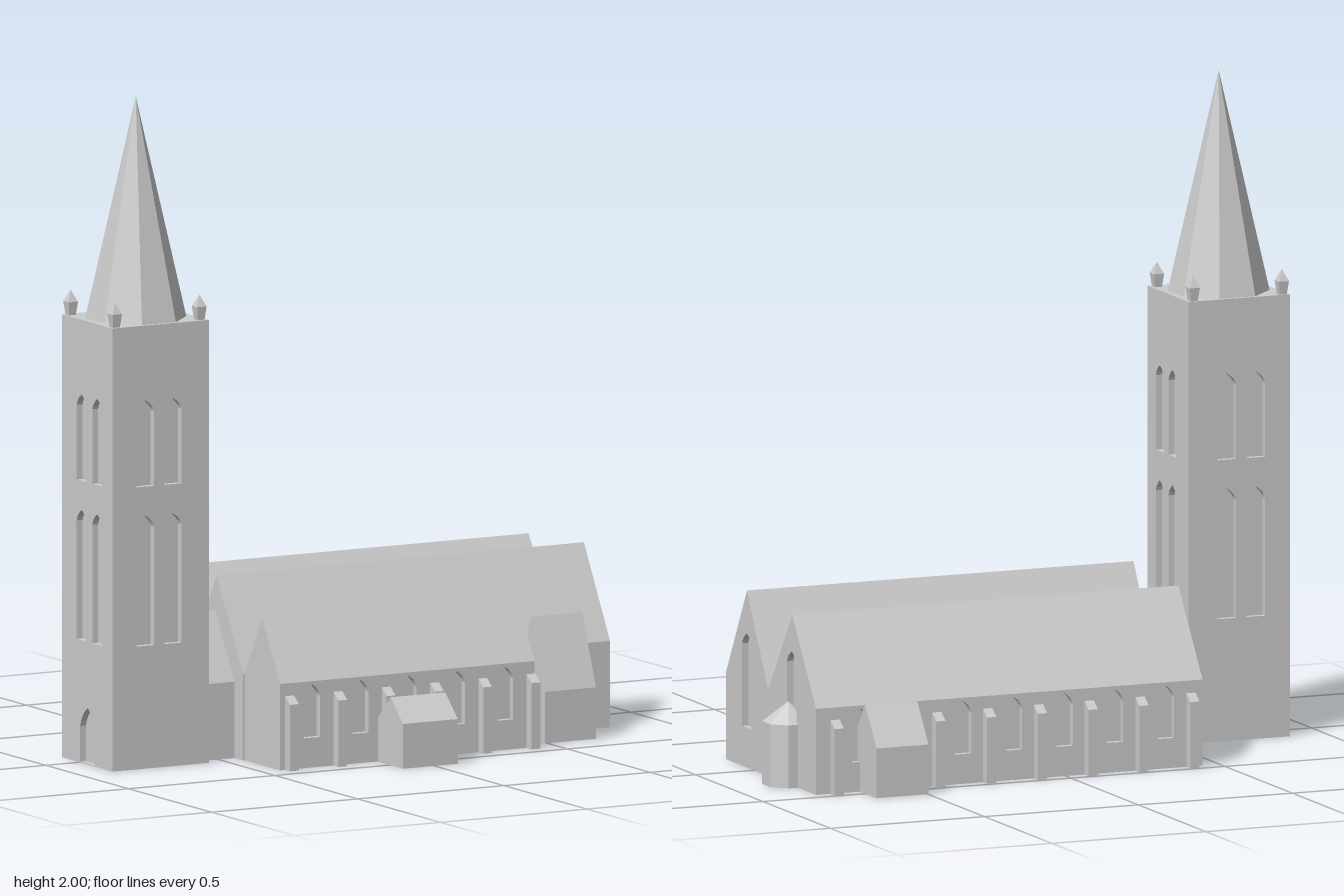
import * as THREE from 'three';

const D = 0.02; // depth of the window recesses

export function createModel() {
  const church = new THREE.Group();
  church.name = 'church';
  const stone = new THREE.MeshStandardMaterial({ color: 0xcccccc, flatShading: true });
  stone.name = 'stone';

  function add(name, geometry, parent = church) {
    const mesh = new THREE.Mesh(geometry, stone);
    mesh.name = name;
    parent.add(mesh);
    return mesh;
  }
  const outline = (pts) => new THREE.Shape(pts.map(([a, b]) => new THREE.Vector2(a, b)));

  // pointed-arch opening centred on c
  function lancet(c, w, y0, y1, rise = 0.035) {
    const p = new THREE.Path();
    p.moveTo(c - w / 2, y0);
    p.lineTo(c + w / 2, y0);
    p.lineTo(c + w / 2, y1 - rise);
    p.quadraticCurveTo(c + w * 0.42, y1 - rise * 0.4, c, y1);
    p.quadraticCurveTo(c - w * 0.42, y1 - rise * 0.4, c - w / 2, y1 - rise);
    return p;
  }
  function extrude(pts, holes, depth) {
    const s = outline(pts);
    s.holes.push(...holes);
    return new THREE.ExtrudeGeometry(s, { depth, bevelEnabled: false, curveSegments: 4 });
  }
  // profile in (z, y), running along x from x0 to x1
  const alongX = (pts, x0, x1, holes = []) =>
    extrude(pts, holes, x1 - x0).rotateY(-Math.PI / 2).translate(x1, 0, 0);
  // profile in (x, y), running along z from z0 to z1
  const alongZ = (pts, z0, z1, holes = []) => extrude(pts, holes, z1 - z0).translate(0, 0, z0);
  const rect = (a0, a1, h) => [[a0, 0], [a1, 0], [a1, h], [a0, h]];
  const gable = (z0, z1, eave, ridge) =>
    [[z0, 0], [z1, 0], [z1, eave], [(z0 + z1) / 2, ridge], [z0, eave]];

  // halls: nave and two aisles
  const eave = 0.26, sill = 0.255;
  const sideWindows = (xs) => xs.map((x) => lancet(x, 0.054, 0.09, 0.25));

  const naveProfile = gable(-0.105, 0.21, eave, 0.535);
  add('nave', alongX(naveProfile, -0.445, 0.81 - D));
  add('naveEastWall', alongX(naveProfile, 0.81 - D, 0.81, [lancet(0.053, 0.07, 0.12, 0.405)]));

  const north = [-0.46, -0.105];
  add('northAisle', alongX([
    [north[0] + D, 0], [north[1], 0], [north[1], eave], [-0.28, 0.515],
    [north[0], eave], [north[0], sill], [north[0] + D, sill],
  ], -0.445, 0.81 - D));
  add('northAisleEastWall', alongX(gable(...north, eave, 0.515), 0.81 - D, 0.81,
    [lancet(-0.28, 0.07, 0.12, 0.405)]));
  add('northWall', alongZ(rect(-0.445, 0.81 - D, sill), north[0], north[0] + D,
    sideWindows([-0.325, -0.16, 0.003, 0.168, 0.333, 0.498, 0.665])));

  const south = [0.21, 0.425];
  add('southAisle', alongX([
    [south[0], 0], [south[1] - D, 0], [south[1] - D, sill], [south[1], sill],
    [south[1], eave], [0.318, 0.44], [south[0], eave],
  ], -0.44, 0.43));
  add('southWall', alongZ(rect(-0.44, 0.43, sill), south[1] - D, south[1],
    sideWindows([-0.33, -0.165, 0, 0.165, 0.33])));

  // buttresses with sloping tops
  function buttress(x, z, dir) {
    const out = z + dir * 0.03, inn = z - dir * 0.005;
    add('buttress', alongX([[inn, 0], [out, 0], [out, 0.2], [inn, 0.226]], x - 0.015, x + 0.015));
  }
  for (let i = 0; i < 8; i++) {
    const x = -0.407 + i * 0.165;
    buttress(x, north[0], -1);
    if (i < 6) buttress(x, south[1], 1);
  }

  // small gabled wings
  add('southPorch', alongX(gable(0.43, 0.58, 0.135, 0.205), -0.107, 0.08));
  add('southTransept', alongX(gable(0.21, 0.378, 0.155, 0.37), 0.492, 0.667));
  add('northPorch', alongX(gable(-0.582, -0.41, 0.15, 0.27), 0.498, 0.667));
  add('towerLink', alongX(gable(-0.07, 0.158, 0.23, 0.43), -0.56, -0.44));

  // octagonal turret on the east end
  const turretR = 0.0715 / Math.cos(Math.PI / 8);
  const turret = new THREE.Group();
  turret.name = 'turret';
  turret.position.set(0.81, 0, -0.253);
  turret.rotation.y = Math.PI / 8;
  church.add(turret);
  add('turretWall', new THREE.CylinderGeometry(turretR, turretR, 0.19, 8).translate(0, 0.095, 0), turret);
  add('turretRoof', new THREE.ConeGeometry(turretR, 0.06, 8).translate(0, 0.22, 0), turret);

  // tower with recessed paired windows on all four faces
  const H = 1.335, tx0 = -0.885, tx1 = -0.555, tz0 = -0.105, tz1 = 0.2;
  const tcx = -0.719, tcz = 0.047;
  const paired = (c) => [-0.047, 0.047].flatMap((o) =>
    [lancet(c + o, 0.06, 0.37, 0.762), lancet(c + o, 0.06, 0.85, 1.11)]);
  add('towerCore', alongX(rect(tz0 + D, tz1 - D, H), tx0 + D, tx1 - D));
  add('towerFrontWall', alongZ(rect(tx0, tx1, H), tz1 - D, tz1, paired(-0.726)));
  add('towerBackWall', alongZ(rect(tx0, tx1, H), tz0, tz0 + D, paired(-0.726)));
  add('towerEastWall', alongX(rect(tz0 + D, tz1 - D, H), tx1 - D, tx1, paired(0.061)));
  add('towerWestWall', alongX(rect(tz0 + D, tz1 - D, H), tx0, tx0 + D,
    [...paired(0.061), lancet(0.05, 0.09, 0.003, 0.17, 0.06)]));

  // spire
  const spireH = 2 - H;
  add('spire', new THREE.ConeGeometry(0.14 / Math.cos(Math.PI / 8), spireH, 8)
    .rotateY(Math.PI / 8).translate(tcx, H + spireH / 2, tcz));

  // corner pinnacles
  for (const x of [-0.865, -0.576]) {
    for (const z of [-0.088, 0.178]) {
      const pinnacle = new THREE.Group();
      pinnacle.name = 'pinnacle';
      pinnacle.position.set(x, H, z);
      pinnacle.rotation.y = Math.PI / 4;
      church.add(pinnacle);
      add('pinnacleShaft', new THREE.CylinderGeometry(0.023, 0.016, 0.04, 4).translate(0, 0.02, 0), pinnacle);
      add('pinnacleTip', new THREE.ConeGeometry(0.023, 0.035, 4).translate(0, 0.0575, 0), pinnacle);
    }
  }
  return church;
}
